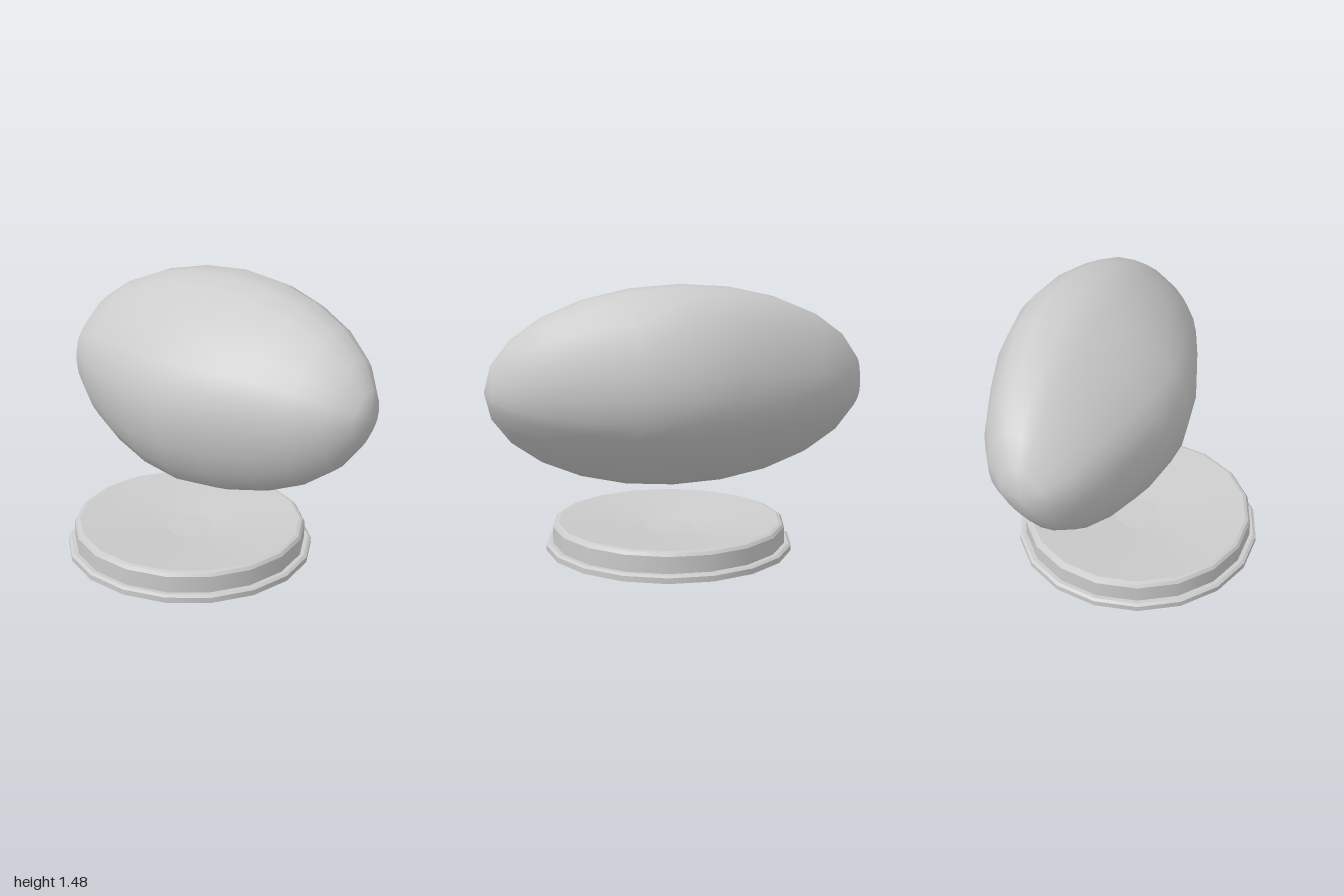
import * as THREE from 'three';

const grey = new THREE.MeshStandardMaterial({ color: 0xcccccc });

// Half of the middle cross-section as [z, y] from its centre; the other half is its point reflection
const HALF = [
  [-0.085, 0.55], [-0.235, 0.55], [-0.345, 0.5], [-0.425, 0.4], [-0.485, 0.27], [-0.515, 0.13],
  [-0.515, 0.01], [-0.485, -0.11], [-0.425, -0.2], [-0.325, -0.31], [-0.205, -0.4], [-0.055, -0.5],
];

// Tilted egg-shaped body lofted along x, with a single vertex at each tip
function bodyGeometry() {
  const section = [...HALF, ...HALF.map(([z, y]) => [-z, -y])];
  const n = section.length, steps = 12;
  const pos = [1, 0, 0], index = [];
  for (let j = 1; j < steps; j++) {
    const t = (Math.PI * j) / steps, x = Math.cos(t), s = Math.sin(t);
    const pinch = 1 - 0.11 * THREE.MathUtils.smoothstep(Math.abs(x), 0, 0.6);
    for (const [z, y] of section) pos.push(x, y * s, z * s * pinch);
  }
  pos.push(-1, 0, 0);
  const last = pos.length / 3 - 1;
  const at = (j, k) => 1 + (j - 1) * n + (k % n);
  for (let k = 0; k < n; k++) {
    index.push(0, at(1, k + 1), at(1, k));
    for (let j = 1; j < steps - 1; j++) {
      const a = at(j, k), b = at(j, k + 1), c = at(j + 1, k), d = at(j + 1, k + 1);
      index.push(a, b, c, b, d, c);
    }
    index.push(at(steps - 1, k), at(steps - 1, k + 1), last);
  }
  const g = new THREE.BufferGeometry();
  g.setAttribute('position', new THREE.Float32BufferAttribute(pos, 3));
  g.setIndex(index);
  g.computeVertexNormals();
  return g;
}

// Stepped round base; each band is its own lathe so the edges between bands stay sharp
function createBase() {
  const base = new THREE.Group();
  base.name = 'base';
  const profile = [
    [0, 0], [0.68, 0], [0.68, 0.03], [0.665, 0.04], [0.642, 0.04], [0.642, 0.13],
    [0.63, 0.146], [0.612, 0.152], [0.13, 0.1], [0, 0.1],
  ];
  const names = ['underside', 'flangeSide', 'flangeBevel', 'flangeTop', 'baseSide',
    'baseBevel', 'baseRim', 'dish', 'dishCentre'];
  names.forEach((name, i) => {
    const points = [profile[i], profile[i + 1]].map(([r, y]) => new THREE.Vector2(r, y));
    const mesh = new THREE.Mesh(new THREE.LatheGeometry(points, 18, Math.PI / 18), grey);
    mesh.name = name;
    base.add(mesh);
  });
  base.position.z = 0.04;
  return base;
}

export function createModel() {
  const model = new THREE.Group();
  model.name = 'floatingEggOnBase';
  const body = new THREE.Mesh(bodyGeometry(), grey);
  body.name = 'floatingBody';
  body.position.set(0, 0.93, -0.195);
  model.add(body, createBase());
  return model;
}
